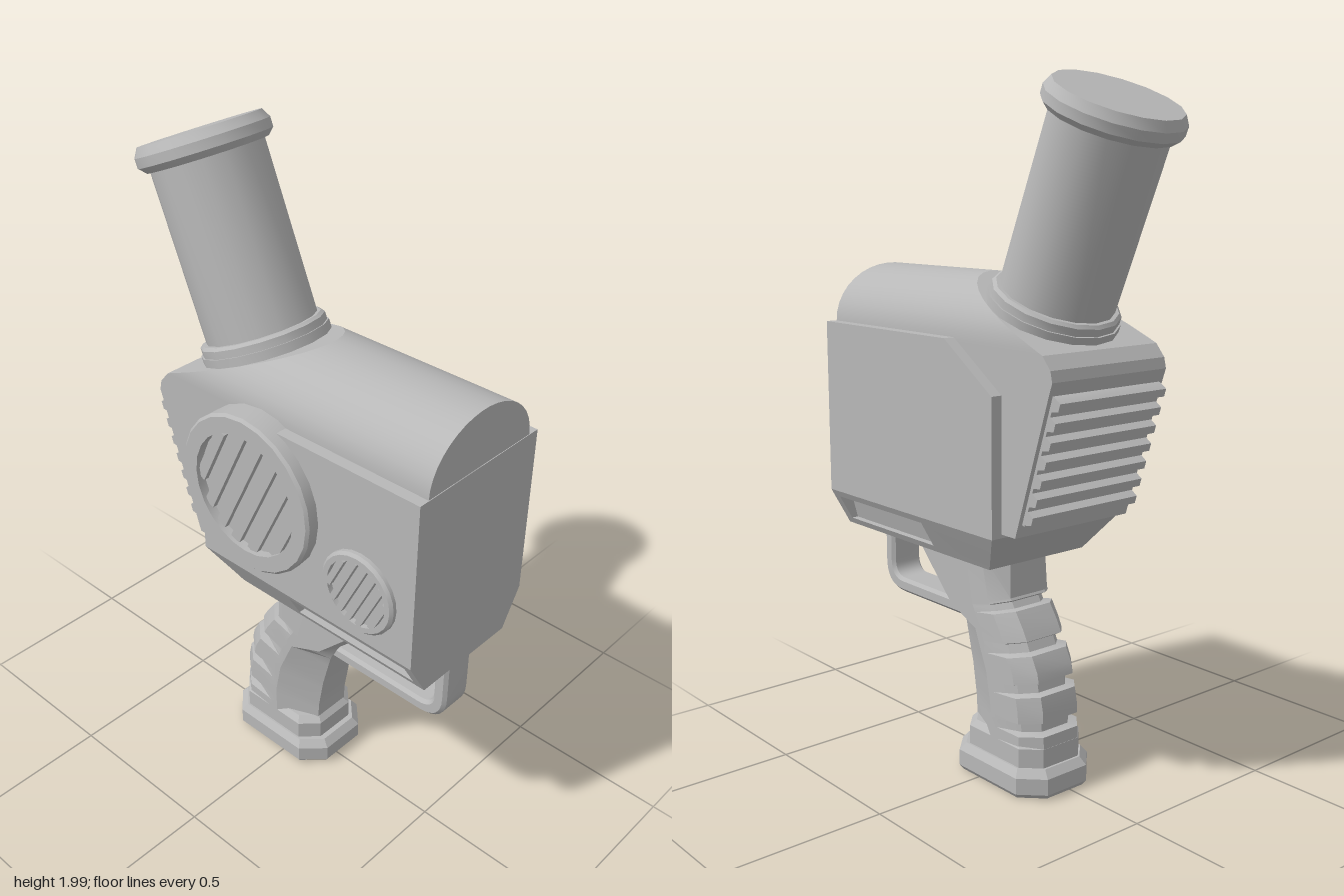
import * as THREE from 'three';
import { toCreasedNormals } from 'three/addons/utils/BufferGeometryUtils.js';

// Closed solid through rings of [x, y, z] points, turned to face outward
function loft(rings, crease = 0.35) {
  const tris = [];
  const n = rings[0].length;
  for (let i = 0; i < rings.length - 1; i++) {
    for (let j = 0; j < n; j++) {
      const k = (j + 1) % n;
      const [a, b, c, d] = [rings[i][j], rings[i][k], rings[i + 1][k], rings[i + 1][j]];
      tris.push([a, b, c], [a, c, d]);
    }
  }
  const cap = (ring, flip) => {
    const mid = [0, 1, 2].map((k) => ring.reduce((s, p) => s + p[k], 0) / n);
    ring.forEach((p, j) => {
      const q = ring[(j + 1) % n];
      tris.push(flip ? [mid, q, p] : [mid, p, q]);
    });
  };
  cap(rings[0], true);
  cap(rings[rings.length - 1], false);
  const volume = tris.reduce((s, [a, b, c]) =>
    s + a[0] * (b[1] * c[2] - b[2] * c[1]) + a[1] * (b[2] * c[0] - b[0] * c[2]) + a[2] * (b[0] * c[1] - b[1] * c[0]), 0);
  if (volume < 0) tris.forEach((t) => t.reverse());
  const geo = new THREE.BufferGeometry();
  geo.setAttribute('position', new THREE.Float32BufferAttribute(tris.flat(2), 3));
  return toCreasedNormals(geo, crease);
}

// Rectangular ring at height y
const slab = (y, hw, back, front) => [[hw, y, front], [hw, y, back], [-hw, y, back], [-hw, y, front]];

// Rectangle in plan with cut corners
function octagon(y, hw, hl, zc, cut) {
  const quarter = [[hw, hl - cut], [hw - cut, hl]];
  const half = [...quarter, ...quarter.map(([x, z]) => [-x, z]).reverse()];
  return [...half, ...half.map(([x, z]) => [-x, -z])].map(([x, z]) => [x, y, z + zc]);
}

function lathe(points, segments, crease) {
  return toCreasedNormals(new THREE.LatheGeometry(points.map((p) => new THREE.Vector2(...p)), segments), crease);
}

// Extrude a side outline (z, y) across x
function extrudeSide(shape, width, bevel) {
  const geo = new THREE.ExtrudeGeometry(shape, {
    depth: width - 2 * bevel, bevelEnabled: bevel > 0, bevelSize: bevel, bevelThickness: bevel,
    bevelOffset: -bevel, bevelSegments: 1, curveSegments: 8,
  });
  geo.translate(0, 0, bevel - width / 2);
  geo.rotateY(-Math.PI / 2);
  return toCreasedNormals(geo, 0.4);
}

export function createModel() {
  const grey = new THREE.MeshStandardMaterial({ color: 0xb8b8b8 });
  grey.name = 'grey';
  const model = new THREE.Group();
  const device = new THREE.Group();
  device.name = 'device';
  device.position.x = 0.02;
  model.add(device);
  const add = (name, geo, parent = device) => {
    const mesh = new THREE.Mesh(geo, grey);
    mesh.name = name;
    parent.add(mesh);
    return mesh;
  };

  // Core housing: arched top, sloped shoulder, leaning back
  const core = [[0.79, -0.255], [1.18, -0.383], [1.22, -0.397], [1.25, -0.39], [1.285, -0.36]]
    .map(([y, back]) => slab(y, 0.206, back, 0.578));
  for (let i = 0; i <= 9; i++) {
    const a = (i / 9) * 1.5;
    const y = 1.3 + 0.167 * Math.sin(a);
    core.push(slab(y, 0.206 * Math.cos(a), -0.36 + ((y - 1.285) / 0.182) * 0.44, 0.578));
  }
  add('coreHousing', loft(core));

  // Side panels and front plate
  add('sidePanels', loft([[0.78, -0.2], [1.165, -0.2], [1.3, 0]].map(([y, b]) => slab(y, 0.24, b, 0.58))));

  // Tapered skirt with a slot along each side
  const skirtRing = (z, notched) => {
    const back = z === null;
    const side = [[0.24, 0.78], [0.229, 0.76], [notched ? 0.185 : 0.229, 0.76],
      [notched ? 0.165 : 0.186, 0.685], [0.186, 0.685], [0.175, 0.665]];
    return [...side, ...side.map(([x, y]) => [-x, y]).reverse()]
      .map(([x, y]) => [x, y, back ? -0.11 - ((y - 0.665) / 0.115) * 0.09 : z]);
  };
  add('skirt', loft([skirtRing(0.58), skirtRing(0.55), skirtRing(0.55, true), skirtRing(0.13, true),
    skirtRing(0.13), skirtRing(null)]));

  // Ribbed rear grille
  const ribs = new THREE.Shape();
  const onBack = (s, out) => [-0.381 + 0.309 * s - 0.951 * out, 1.185 - 0.951 * s - 0.309 * out];
  ribs.moveTo(...onBack(0, -0.02));
  for (let i = 0; i < 7; i++) {
    const s = i * 0.055;
    [[0, 0.012], [0.007, 0.035], [0.03, 0.035], [0.041, 0.012]].forEach(([ds, o]) => ribs.lineTo(...onBack(s + ds, o)));
  }
  ribs.lineTo(...onBack(0.375, 0.012));
  ribs.lineTo(...onBack(0.375, -0.02));
  ribs.closePath();
  add('rearGrille', extrudeSide(ribs, 0.385, 0));

  // Tilted barrel with collar and flanged cap
  const barrel = add('barrel', lathe([[0, -0.12], [0.186, -0.12], [0.186, -0.03], [0.181, -0.03], [0.181, -0.008],
    [0.172, 0], [0.161, 0], [0.161, 0.485], [0.172, 0.485], [0.19, 0.503], [0.19, 0.53], [0.175, 0.556], [0, 0.556]], 16, 0.5));
  barrel.position.set(0, 1.414, -0.19);
  barrel.rotation.x = -0.408;

  // Round vents with slanted slats on the right side
  const addVent = (name, y, z, r, inner, height, floor) => {
    const vent = new THREE.Group();
    vent.name = name;
    vent.position.set(-0.2, y, z);
    device.add(vent);
    const ring = add('ventRing', lathe([[r, 0], [r, height - 0.008], [r - 0.008, height], [inner, height],
      [inner, floor], [0, floor]], 24, 0.5), vent);
    ring.rotation.z = Math.PI / 2;
    const count = 6, pitch = (2 * inner) / count, tilt = 0.45;
    for (let i = 0; i < count; i++) {
      const d = (i - (count - 1) / 2) * pitch;
      const slat = add('ventSlat', new THREE.BoxGeometry(0.02, 2 * Math.sqrt(inner * inner - d * d), pitch * 0.55), vent);
      slat.position.set(-floor - 0.006, -Math.sin(tilt) * d, Math.cos(tilt) * d);
      slat.rotation.x = tilt;
    }
  };
  addVent('largeVent', 1.08, 0.01, 0.24, 0.185, 0.08, 0.052);
  addVent('smallVent', 0.943, 0.4, 0.124, 0.1, 0.059, 0.043);

  // Grip: rows of rear z, rear y, front z, front y, start of the full-width side
  const keys = [
    [-0.07, 0.68, 0.355, 0.68, 0.08], [-0.07, 0.55, 0.165, 0.49, 0.1], [-0.125, 0.47, 0.138, 0.43, 0.42],
    [-0.185, 0.36, 0.108, 0.31, 0.44], [-0.21, 0.25, 0.092, 0.21, 0.44], [-0.215, 0.13, 0.088, 0.13, 0.42],
  ];
  const gripRing = (t, grooved) => {
    const i = Math.min(Math.floor(t), keys.length - 2);
    const [rz, ry, fz, fy, u] = keys[i].map((v, k) => v + (keys[i + 1][k] - v) * (t - i));
    const half = [[0, 0.06], [u, 0.116], [Math.max(u, 0.52), 0.116],
      grooved ? [0.78, 0.09] : [0.82, 0.112], grooved ? [0.92, 0.05] : [1, 0.065]];
    const at = ([w, x]) => [x, fy + (ry - fy) * w, fz + (rz - fz) * w];
    return [...half.map(at), ...half.map(([w, x]) => at([w, -x])).reverse()];
  };
  const stations = [[0], [1]];
  [1.25, 2.45, 3.45, 4.45].forEach((t, i) => {
    stations.push([t - 0.17], [t - 0.11, true], [t + 0.11, true], [t + 0.17]);
    if (i < 2) stations.push([i + 2]);
    if (i > 1) stations.push([i + 2]);
  });
  stations.sort((a, b) => a[0] - b[0]);
  add('grip', loft(stations.map(([t, g]) => gripRing(t, g))));

  // Grip collar and foot
  add('gripCollar', loft([octagon(0.07, 0.116, 0.16, -0.055, 0.05), octagon(0.14, 0.116, 0.16, -0.055, 0.05),
    octagon(0.158, 0.1, 0.143, -0.055, 0.045)]));
  add('gripFoot', loft([octagon(0, 0.128, 0.182, -0.05, 0.06), octagon(0.014, 0.138, 0.192, -0.05, 0.064),
    octagon(0.062, 0.138, 0.192, -0.05, 0.064), octagon(0.084, 0.122, 0.172, -0.05, 0.056)]));

  // Trigger guard
  const guard = new THREE.Shape();
  guard.moveTo(0.565, 0.68);
  guard.lineTo(0.565, 0.53);
  guard.quadraticCurveTo(0.565, 0.435, 0.47, 0.435);
  guard.lineTo(0.1, 0.435);
  guard.lineTo(0.1, 0.48);
  guard.lineTo(0.47, 0.48);
  guard.quadraticCurveTo(0.52, 0.48, 0.52, 0.53);
  guard.lineTo(0.52, 0.68);
  guard.closePath();
  add('triggerGuard', extrudeSide(guard, 0.108, 0.01));

  return model;
}
